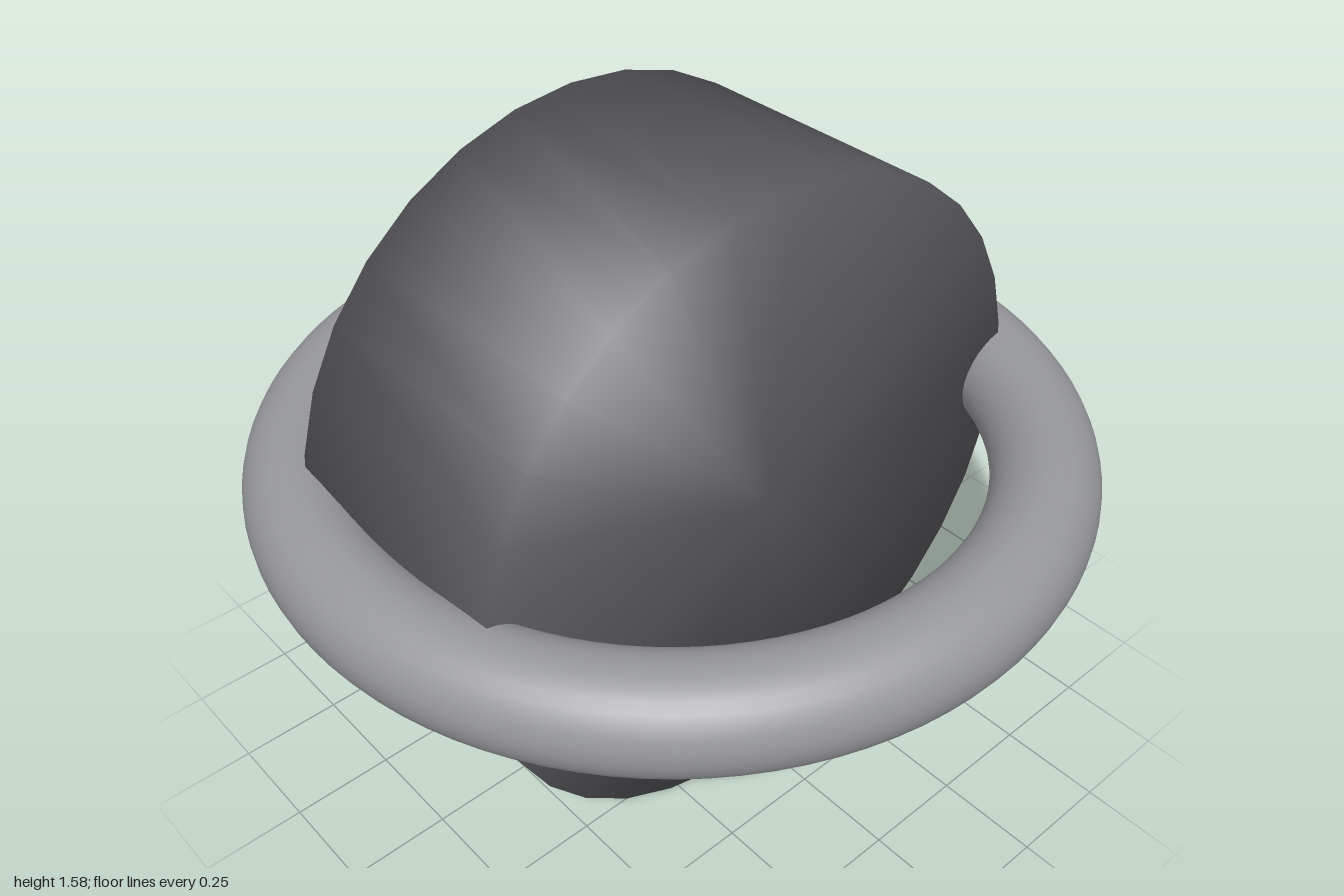
import * as THREE from 'three';
import { mergeVertices } from 'three/addons/utils/BufferGeometryUtils.js';

export function createModel() {
  const radius = 0.792;
  const darkGrey = new THREE.MeshStandardMaterial({ color: 0x58575c });
  darkGrey.name = 'dark grey';
  const lightGrey = new THREE.MeshStandardMaterial({ color: 0x97989c });
  lightGrey.name = 'light grey';

  const model = new THREE.Group();
  model.name = 'ringedDrum';

  // Drum lying along z, its normals smoothed across the rims
  let drumGeometry = new THREE.CylinderGeometry(radius, radius, 0.672, 32);
  drumGeometry.rotateX(Math.PI / 2);
  drumGeometry.deleteAttribute('normal');
  drumGeometry.deleteAttribute('uv');
  drumGeometry = mergeVertices(drumGeometry, 1e-4);
  drumGeometry.computeVertexNormals();
  const drum = new THREE.Mesh(drumGeometry, darkGrey);
  drum.name = 'drum';

  // Level ring around the middle
  const ringGeometry = new THREE.TorusGeometry(0.874, 0.126, 32, 96);
  ringGeometry.rotateX(Math.PI / 2);
  const ring = new THREE.Mesh(ringGeometry, lightGrey);
  ring.name = 'ring';

  for (const part of [drum, ring]) {
    part.position.y = radius;
    model.add(part);
  }
  return model;
}
